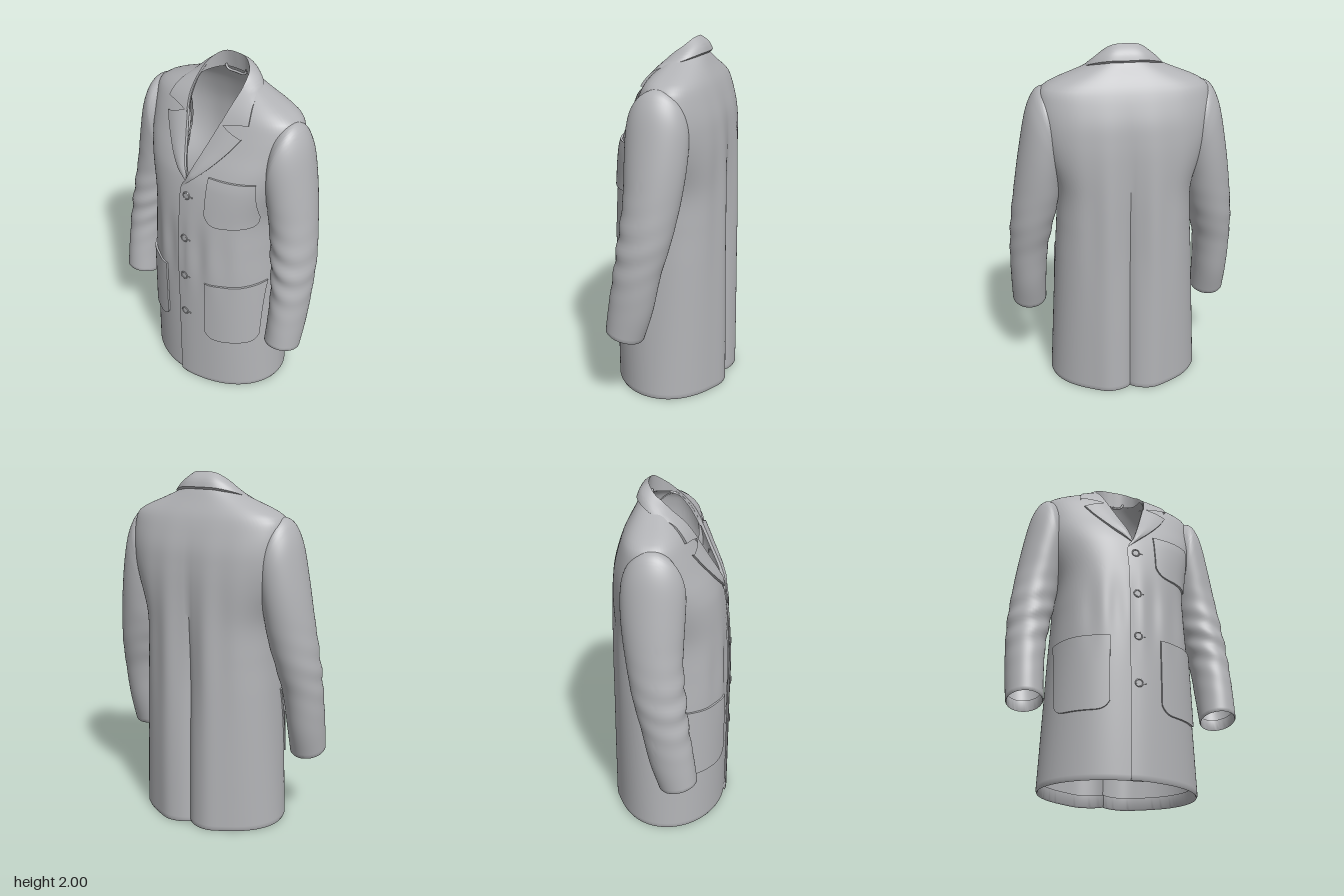
import * as THREE from 'three';
import { toCreasedNormals } from 'three/addons/utils/BufferGeometryUtils.js';

const V = (x, y, z) => new THREE.Vector3(x, y, z);
const bell = (d, width) => Math.exp(-((d / width) ** 2));
const steps = (n, fn) => Array.from({ length: n + 1 }, (_, i) => fn(i / n, i));

// Smooth interpolation through rows of [position, values...]
function track(keys) {
  const slope = (i, k) => {
    const a = keys[Math.max(0, i - 1)], b = keys[Math.min(keys.length - 1, i + 1)];
    return (b[k] - a[k]) / (b[0] - a[0]);
  };
  return (p) => {
    let i = 0;
    while (i < keys.length - 2 && p > keys[i + 1][0]) i++;
    const a = keys[i], b = keys[i + 1], h = b[0] - a[0];
    const t = THREE.MathUtils.clamp((p - a[0]) / h, 0, 1), t2 = t * t, t3 = t2 * t;
    return a.slice(1).map((v, j) => v * (2 * t3 - 3 * t2 + 1) + b[j + 1] * (3 * t2 - 2 * t3)
      + h * (slope(i, j + 1) * (t3 - 2 * t2 + t) + slope(i + 1, j + 1) * (t3 - t2)));
  };
}

// Skin over a grid of points
function loft(rows, crease = 0.8) {
  const n = rows[0].length, index = [];
  for (let i = 0; i < rows.length - 1; i++) {
    for (let j = 0; j < n - 1; j++) {
      const a = i * n + j, b = a + 1, c = a + n, d = c + 1;
      index.push(a, b, c, b, d, c);
    }
  }
  const geo = new THREE.BufferGeometry().setFromPoints(rows.flat());
  geo.setIndex(index);
  return toCreasedNormals(geo, crease);
}

// Torso: height, half width, front z, back z, z of the widest point, section power (1 is an ellipse)
const torso = track([
  [0, 0.44, 0.335, -0.335, -0.01, 1], [0.4, 0.418, 0.335, -0.33, -0.015, 0.93],
  [0.8, 0.395, 0.332, -0.322, -0.025, 0.85], [1.0, 0.382, 0.325, -0.32, -0.03, 0.82],
  [1.2, 0.38, 0.315, -0.318, -0.04, 0.8], [1.4, 0.432, 0.285, -0.312, -0.065, 0.8],
  [1.5, 0.455, 0.25, -0.305, -0.07, 0.8], [1.6, 0.467, 0.2, -0.292, -0.07, 0.8],
  [1.7, 0.468, 0.15, -0.265, -0.065, 0.8], [1.77, 0.448, 0.112, -0.24, -0.06, 0.8],
  [1.81, 0.38, 0.085, -0.22, -0.058, 0.8], [1.85, 0.28, 0.05, -0.198, -0.058, 0.8],
  [1.9, 0.168, 0, -0.172, -0.06, 0.8], [1.92, 0.147, -0.02, -0.16, -0.06, 0.8],
]);
// Distance of the front edge from the middle: overlap below, V neck above
const opening = track([
  [0, -0.035], [1.2, -0.035], [1.36, -0.035], [1.42, 0], [1.65, 0.085],
  [1.8, 0.132], [1.88, 0.143], [1.92, 0.136],
]);
const power = (v, p) => Math.sign(v) * Math.abs(v) ** p;
function angleAt(x, y) {
  const [w, , , , p] = torso(y);
  return Math.asin(Math.sign(x) * Math.min(0.985, Math.abs(x) / w) ** (1 / p));
}

function torsoPoint(a, y, out = 0) {
  const [w, zf, zb, zc, p] = torso(y);
  const s = Math.sin(a), c = Math.cos(a), x = w * power(s, p);
  let z = zc + (c > 0 ? zf - zc : zc - zb) * power(c, p);
  const pleat = 1 - THREE.MathUtils.smoothstep(y, 0.8, 1.8);
  if (c > 0) {
    z += (a < Math.PI ? 0.007 : -0.007) * bell(x, 0.1); // one front laps the other
    z += 0.006 * c * Math.sin(Math.abs(x) * 45) * bell(y - 0.95, 0.2); // waist gathers
  } else {
    // Centre back pleat between two soft lobes
    z += pleat * (0.05 * Math.exp(-Math.abs(x) / 0.045) - 0.013 * bell(Math.abs(x) - 0.14, 0.07));
    z -= 0.004 * c * Math.sin(Math.abs(x) * 38) * bell(y - 1.1, 0.4);
  }
  return V(x + s * out, y, z + c * out);
}
const frontZ = (x, y) => torsoPoint(angleAt(x, y), y).z;

function bodyGeometry() {
  // Turned-up hem first, then the outer cloth
  const levels = [[0.07, -0.014], [0.008, -0.013], [0, -0.006], [0.012, 0],
    ...steps(90, (t) => [0.03 + t * 1.89, 0])];
  return loft(levels.map(([y, out]) => {
    const a = angleAt(opening(y)[0], y);
    return steps(240, (t) => torsoPoint(a + t * (2 * Math.PI - 2 * a), y, out));
  }));
}

// Sleeve rings: step, outer x y, inner x y, front z, back z
const sleeve = track([
  [0, 0.65, 0.437, 0.45, 0.437, 0.22, 0.01], [1, 0.655, 0.6, 0.448, 0.6, 0.2, -0.045],
  [2, 0.655, 0.8, 0.435, 0.8, 0.17, -0.09], [3, 0.643, 1.0, 0.405, 0.96, 0.148, -0.138],
  [4, 0.61, 1.25, 0.375, 1.1, 0.13, -0.175], [5, 0.577, 1.45, 0.358, 1.22, 0.132, -0.197],
  [6, 0.54, 1.63, 0.35, 1.28, 0.135, -0.206], [7, 0.502, 1.725, 0.352, 1.31, 0.135, -0.206],
  [8, 0.462, 1.768, 0.36, 1.33, 0.128, -0.202], [9, 0.415, 1.775, 0.34, 1.34, 0.1, -0.185],
]);

function sleeveGeometry(side) {
  const levels = [[0.4, 0.91], [0.03, 0.92], [0, 0.96], ...steps(80, (t) => [0.04 + 8.96 * t, 1])];
  return loft(levels.map(([u, scale]) => {
    const [xo, yo, xi, yi, zf, zb] = sleeve(u);
    const tilt = 0.025 * Math.max(0, 1 - u / 2);
    return steps(56, (t) => {
      const a = side * t * 2 * Math.PI, c = Math.cos(a), s = -Math.sin(a);
      const y = (yo + yi) / 2 + c * (yo - yi) / 2 + s * tilt;
      // Creases around the elbow, deepest on the inner front
      const fold = 0.045 * bell(y - 0.93, 0.2) * (0.55 + 0.45 * s) * Math.sin(y * 46 + 2.2 * c + 1.5 * s);
      const k = scale * (1 + fold);
      return V(side * ((xo + xi) / 2 + k * c * (xo - xi) / 2), y, (zf + zb) / 2 + k * s * (zf - zb) / 2);
    });
  }));
}

// Patch pocket with rounded lower corners, lying on the torso
function pocketGeometry(x0, x1, top, bottom, corner) {
  const n = 28, edge = (i) => THREE.MathUtils.clamp((i - 1) / (n - 2), 0, 1);
  return loft(steps(n, (_, j) => steps(n, (_, i) => {
    const s = edge(i), v = edge(j);
    const low = bottom + corner * Math.abs(2 * s - 1) ** 7;
    const y = low + v * (top - low);
    const a = THREE.MathUtils.lerp(angleAt(x0, y), angleAt(x1, y), s);
    const rim = i === 0 || j === 0 || i === n || j === n;
    return torsoPoint(a, y, rim ? -0.004 : 0.008 + 0.004 * Math.sin(Math.PI * s));
  })), 0.6);
}

// Lapel folded back from the V neck; the left one crosses the middle
function lapelGeometry(side) {
  const [startX, startY] = side > 0 ? [-0.03, 1.36] : [0.004, 1.4];
  const edge = new THREE.CatmullRomCurve3([V(startX, startY, 0), V(0.1, 1.485, 0), V(0.2, 1.605, 0), V(0.252, 1.685, 0)]);
  return loft(steps(28, (t) => {
    const y = startY + 0.02 + t * (1.715 - startY);
    const fold = V(Math.max(opening(y)[0], startX), y, 0), outer = edge.getPoint(t);
    return steps(14, (_, i) => {
      const u = THREE.MathUtils.clamp((i - 1) / 12, 0, 1), p = fold.clone().lerp(outer, u);
      const rise = Math.min(1, 0.15 + t * 4);
      const lift = i === 0 || i === 14 ? -0.004 : rise * (0.013 + 0.008 * Math.sin(Math.PI * u));
      return V(side * p.x, p.y, frontZ(side * p.x, p.y) + lift);
    });
  }), 0.6);
}

// Turned-down collar, from one front point round the back to the other
function collarGeometry() {
  const whole = (half) => new THREE.CatmullRomCurve3([
    ...half.slice(1).reverse().map(([x, y, z]) => V(-x, y, z)), ...half.map((p) => V(...p))]);
  const fold = whole([[0, 2, -0.12], [0.07, 1.993, -0.112], [0.125, 1.955, -0.072],
    [0.145, 1.9, 0], [0.138, 1.82, 0.075], [0.113, 1.722, 0.14]]);
  const outer = whole([[0, 1.92, -0.182], [0.1, 1.918, -0.172], [0.19, 1.893, -0.11],
    [0.235, 1.85, -0.01], [0.262, 1.795, 0.06], [0.272, 1.755, 0.09]]);
  return loft(steps(72, (t) => {
    const f = fold.getPoint(t), o = outer.getPoint(t);
    // The stand inside the neck is deepest at the back
    const drop = 0.02 + 0.08 * THREE.MathUtils.clamp(-f.z / 0.12, 0, 1);
    const stand = V(f.x * 0.99, f.y - drop, f.z - drop * 0.12);
    return [stand, ...steps(12, (u) => {
      const p = f.clone().lerp(o, u), bulge = 0.01 * Math.sin(Math.PI * u);
      p.x *= 1 + bulge * 2;
      p.y += bulge * 0.6;
      // Lie on the torso in front, hang free behind
      const front = THREE.MathUtils.smoothstep(p.z, -0.06, 0.02);
      const rest = Math.max(p.z, frontZ(p.x, p.y) + 0.016);
      p.z = THREE.MathUtils.lerp(p.z - bulge, rest, front);
      return p;
    }), V(o.x * 0.94, o.y - 0.012, o.z * 0.94)];
  }), 0.7);
}

export function createModel() {
  const coat = new THREE.Group();
  coat.name = 'coat';
  const cloth = new THREE.MeshStandardMaterial({ color: 0xb2b3b6, side: THREE.DoubleSide });
  cloth.name = 'grey cloth';
  const add = (name, geo, parent = coat) => {
    const mesh = new THREE.Mesh(geo, cloth);
    mesh.name = name;
    parent.add(mesh);
    return mesh;
  };

  add('body', bodyGeometry());
  add('collar', collarGeometry());
  for (const [side, label] of [[1, 'left'], [-1, 'right']]) {
    add(label + 'Sleeve', sleeveGeometry(side));
    add(label + 'Lapel', lapelGeometry(side));
    add(label + 'HipPocket', pocketGeometry(side * 0.142, side * 0.39, 0.785, 0.365, 0.05));
  }
  add('breastPocket', pocketGeometry(0.13, 0.365, 1.465, 1.185, 0.06));

  // Buttons with their buttonholes
  for (const y of [1.32, 1.05, 0.79, 0.52]) {
    const button = new THREE.Group();
    button.name = 'button';
    button.position.set(0.01, y, frontZ(0.01, y));
    add('buttonDisc', new THREE.CylinderGeometry(0.02, 0.024, 0.008, 20), button).rotation.x = Math.PI / 2;
    add('buttonRim', new THREE.TorusGeometry(0.02, 0.004, 8, 20), button).position.z = 0.003;
    add('buttonhole', new THREE.BoxGeometry(0.03, 0.006, 0.006), button).position.x = 0.026;
    coat.add(button);
  }

  // Hanging loop inside the neck
  const loop = new THREE.CatmullRomCurve3([V(-0.07, 1.915, -0.118), V(-0.055, 1.892, -0.118),
    V(0, 1.886, -0.124), V(0.055, 1.892, -0.118), V(0.07, 1.915, -0.118)]);
  add('hangingLoop', new THREE.TubeGeometry(loop, 24, 0.007, 8));
  return coat;
}
